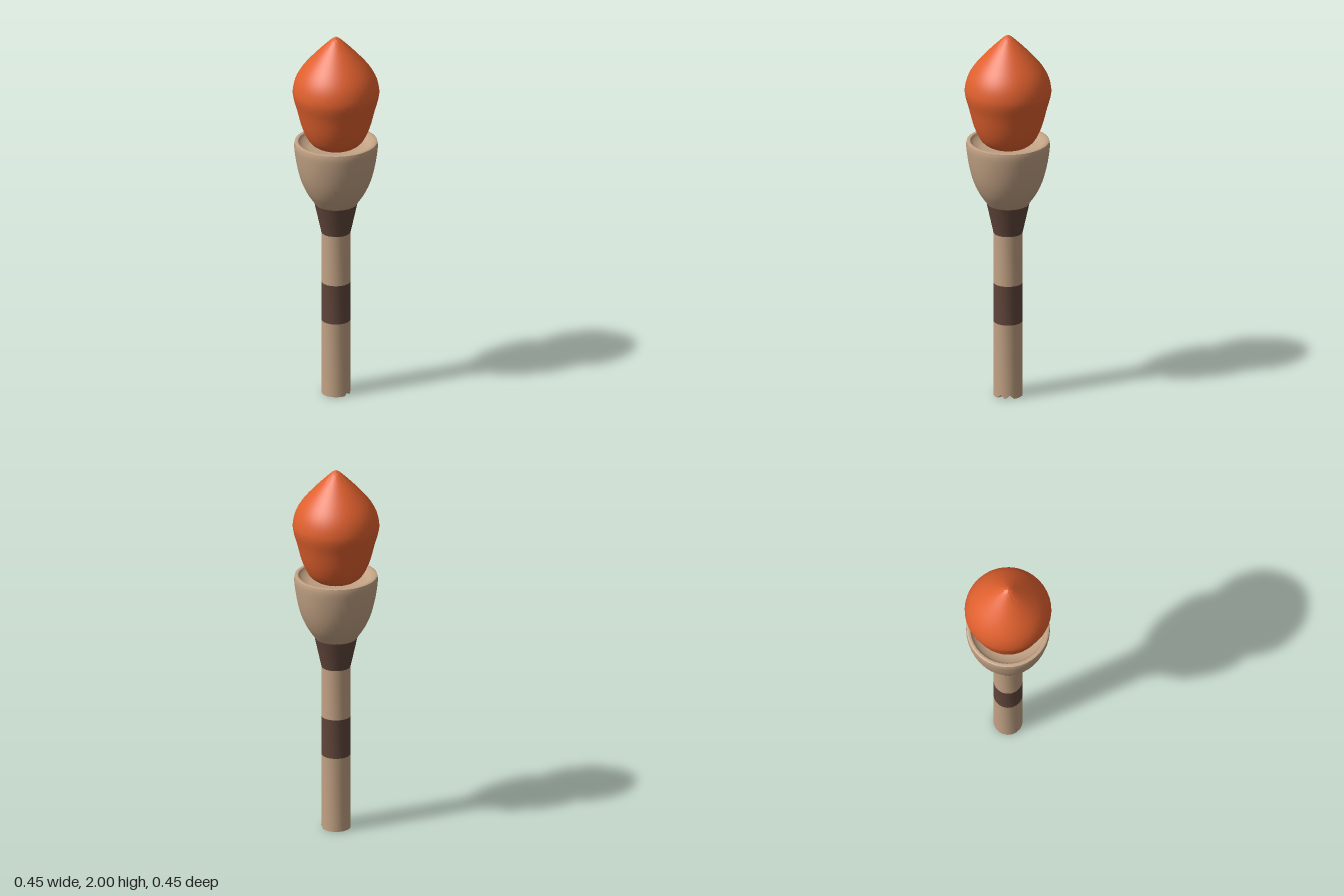
import * as THREE from 'three';
import { toCreasedNormals } from 'three/addons/utils/BufferGeometryUtils.js';

const WOOD = 0xc2a284, DARK = 0x5f453a, FLAME = 0xe0602e;

export function createModel() {
  const group = new THREE.Group();

  function add(name, geometry, color) {
    const material = new THREE.MeshStandardMaterial({ color, side: THREE.DoubleSide });
    const mesh = new THREE.Mesh(geometry, material);
    mesh.name = name;
    group.add(mesh);
    return mesh;
  }
  // Turned part from [radius, height] pairs, listed bottom to top on the outside
  const turned = (points, sides) => toCreasedNormals(
    new THREE.LatheGeometry(points.map(([r, y]) => new THREE.Vector2(r, y)), sides), 0.7);

  // Turned part whose profile is smoothed by a spline
  const smoothTurned = (points, steps, sides) => {
    const curve = new THREE.SplineCurve(points.map(([r, y]) => new THREE.Vector2(r, y)));
    return turned(curve.getPoints(steps).map(p => [Math.max(p.x, 0), p.y]), sides);
  };

  // Handle: plain shaft sections with a wrapped grip between them
  const lower = turned([[0, 0], [0.076, 0], [0.076, 0.41]], 20);
  // Splintered foot: a few small chips in the bottom edge
  const pos = lower.attributes.position;
  for (let i = 0; i < pos.count; i++) {
    const x = pos.getX(i), z = pos.getZ(i);
    if (pos.getY(i) > 0.001 || Math.hypot(x, z) < 0.05) continue;
    const side = Math.round(Math.atan2(z, x) / (Math.PI / 10));
    if (side === -1 || side === -3) pos.setY(i, 0.02);
  }
  lower.computeVertexNormals();
  add('lowerShaft', toCreasedNormals(lower, 0.7), WOOD);
  add('gripBand', turned([[0.076, 0.41], [0.076, 0.625]], 20), DARK);
  add('upperShaft', turned([[0.076, 0.625], [0.076, 0.905]], 20), WOOD);

  // Flared collar under the cup
  add('collar', turned([[0, 0.902], [0.076, 0.902], [0.112, 1.065], [0, 1.065]], 24), DARK);

  // Cup: rounded outside, narrow lip and a shallow dish inside
  add('cup', smoothTurned([
    [0.106, 1.062], [0.13, 1.095], [0.158, 1.14], [0.185, 1.205],
    [0.204, 1.28], [0.215, 1.35], [0.218, 1.39], [0.215, 1.412],
  ], 20, 40), WOOD);
  add('cupLip', turned([[0.215, 1.412], [0.208, 1.415], [0.197, 1.413], [0.19, 1.402]], 40), WOOD);
  add('cupDish', turned([[0.19, 1.402], [0.175, 1.385], [0.14, 1.373], [0, 1.37]], 40), WOOD);

  // Flame: teardrop with a pointed tip
  add('flame', smoothTurned([
    [0, 1.375], [0.08, 1.382], [0.122, 1.402], [0.15, 1.435], [0.18, 1.505], [0.205, 1.6],
    [0.222, 1.66], [0.225, 1.705], [0.21, 1.765], [0.175, 1.825],
    [0.11, 1.9], [0.035, 1.975], [0.012, 1.993], [0, 2],
  ], 40, 40), FLAME);

  return group;
}
